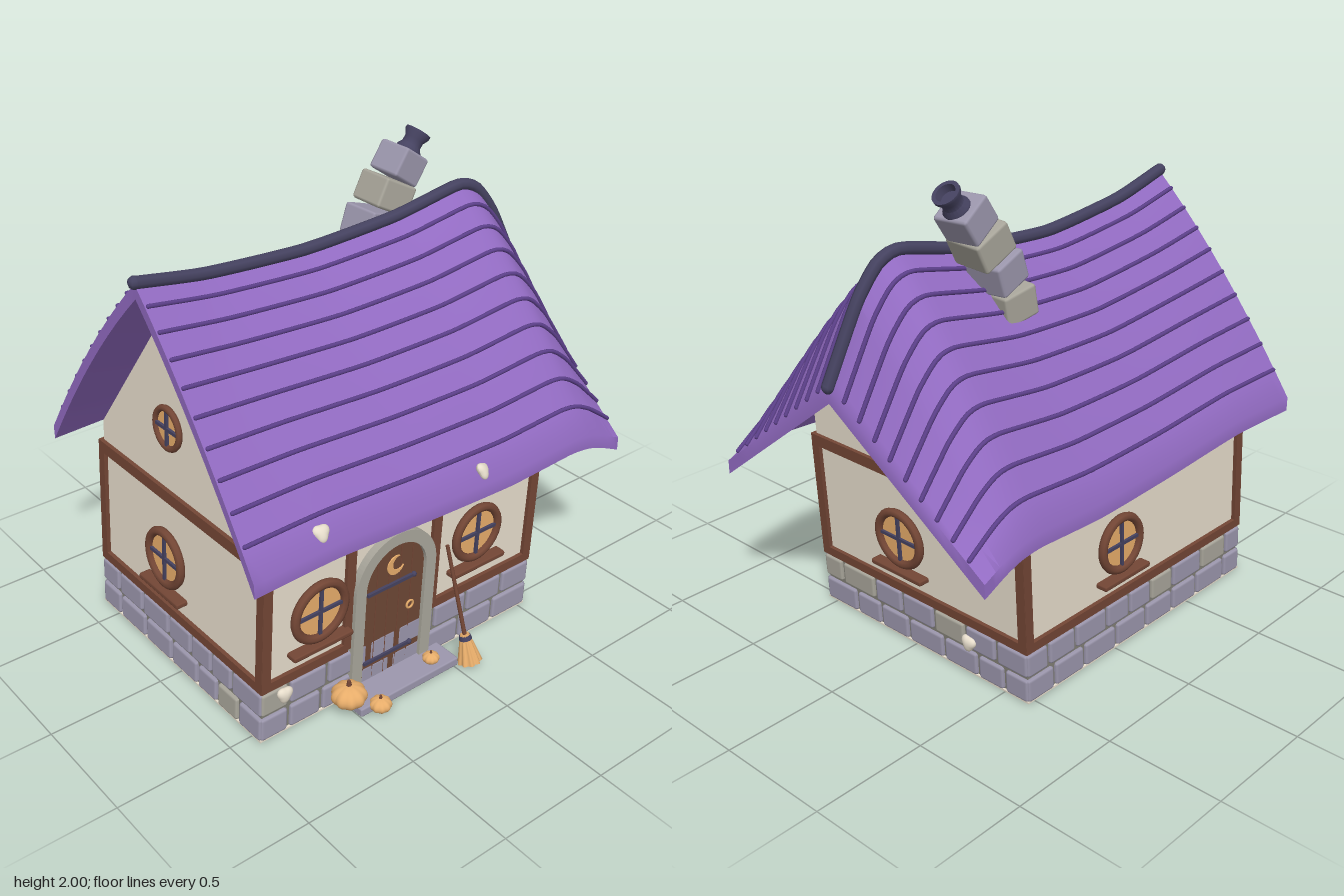
import * as THREE from 'three';
import { toCreasedNormals } from 'three/addons/utils/BufferGeometryUtils.js';
import { RoundedBoxGeometry } from 'three/addons/geometries/RoundedBoxGeometry.js';

const mat = (name, color) => Object.assign(new THREE.MeshStandardMaterial({ color }), { name });
const V = (x, y, z) => new THREE.Vector3(x, y, z);
const PI = Math.PI;

export function createModel() {
  const root = new THREE.Group();
  root.name = 'crookedCottage';
  const roofPurple = mat('roofPurple', 0x926bc2), coursePurple = mat('coursePurple', 0x5c408a);
  const slate = mat('slate', 0x454260), cream = mat('cream', 0xeee4d2);
  const timber = mat('timber', 0x734635), doorWood = mat('doorWood', 0x6d4735);
  const stoneViolet = mat('stoneViolet', 0x9c97ad), stoneGrey = mat('stoneGrey', 0xa9a69b);
  const mortar = mat('mortar', 0x817f76), amber = mat('amber', 0xe9ae6b);

  let seed = 7;
  const rand = () => (seed = (seed * 16807) % 2147483647) / 2147483647;

  const add = (name, geo, material, x = 0, y = 0, z = 0) => {
    const m = new THREE.Mesh(geo, material);
    m.name = name;
    m.position.set(x, y, z);
    root.add(m);
    return m;
  };
  const box = (w, h, d) => new THREE.BoxGeometry(w, h, d);

  // House parts lean to +x with height; each is placed on one of the four walls
  const lean = new THREE.Matrix4().set(1, 0.06, 0, -0.18, 0, 1, 0, 0, 0, 0, 1, -0.035, 0, 0, 0, 1);
  const sides = {
    front: { ry: 0, d: 0.575, h: 0.7 }, right: { ry: PI / 2, d: 0.7, h: 0.575 },
    back: { ry: PI, d: 0.575, h: 0.7 }, left: { ry: -PI / 2, d: 0.7, h: 0.575 },
  };
  const onWall = (name, geo, material, side, u, y, out = 0) => {
    const s = sides[side];
    geo.translate(u, y, s.d + out).rotateY(s.ry).applyMatrix4(lean);
    return add(name, geo, material);
  };

  // Walls, floor and stone footing
  add('walls', box(1.4, 0.7, 1.15).translate(0, 0.55, 0).applyMatrix4(lean), cream);
  add('footing', box(1.41, 0.226, 1.16).translate(0, 0.117, 0).applyMatrix4(lean), mortar);
  add('floor', box(1.43, 0.008, 1.18).translate(0, 0.004, 0).applyMatrix4(lean), cream);
  for (const side in sides) {
    const end = sides[side].h + 0.02;
    for (let row = 0; row < 2; row++) {
      let u = -end;
      while (u < end - 0.01) {
        let w = (row && u === -end ? 0.09 : 0.14) + rand() * 0.07;
        if (end - u - w < 0.07) w = end - u;
        const stone = new RoundedBoxGeometry(w - 0.014, 0.102, 0.05, 1, 0.012);
        onWall('footingStone', stone, rand() < 0.2 ? stoneGrey : stoneViolet, side, u + w / 2, 0.056 + row * 0.116, -0.005);
        u += w;
      }
    }
  }

  // Gable ends
  for (const [side, a] of [['right', 0.035], ['left', -0.035]]) {
    const g = new THREE.Shape([[-0.575, 0.8], [0.575, 0.8], [0.575, 0.9], [a, 1.63], [-0.575, 0.9]].map(p => new THREE.Vector2(...p)));
    onWall('gable', new THREE.ExtrudeGeometry(g, { depth: 0.04, bevelEnabled: false }), cream, side, 0, 0, -0.04);
  }

  // Timber frame
  for (const side in sides) {
    const h = sides[side].h;
    onWall('topBeam', box(2 * h + 0.03, 0.05, 0.035), timber, side, 0, 0.785);
    if (side !== 'front') onWall('bottomBeam', box(2 * h + 0.03, 0.04, 0.035), timber, side, 0, 0.25);
    for (const s of [-1, 1]) onWall('cornerPost', box(0.042, 0.52, 0.035), timber, side, s * (h - 0.005), 0.51);
  }
  onWall('bottomBeamA', box(0.42, 0.04, 0.035), timber, 'front', -0.505, 0.25);
  onWall('bottomBeamB', box(0.57, 0.04, 0.035), timber, 'front', 0.43, 0.25);
  for (const u of [-0.297, 0.147]) onWall('doorPost', box(0.042, 0.54, 0.035), timber, 'front', u, 0.51);

  // Round windows
  const roundWindow = (side, u, y, r, sill) => {
    const t = r * 0.14, ring = r - t;
    onWall('windowPane', new THREE.CylinderGeometry(ring, ring, 0.02, 32).rotateX(PI / 2), amber, side, u, y);
    onWall('windowFrame', new THREE.TorusGeometry(ring, t, 8, 32), timber, side, u, y, 0.012);
    onWall('windowBar', box(0.014, 2 * ring, 0.014), slate, side, u, y, 0.014);
    onWall('windowBar', box(2 * ring, 0.014, 0.014), slate, side, u, y, 0.014);
    if (sill) onWall('windowSill', new RoundedBoxGeometry(0.29, 0.024, 0.06, 1, 0.008), timber, side, u, y - 0.145, 0.02);
  };
  roundWindow('front', -0.442, 0.49, 0.139, true);
  roundWindow('front', 0.378, 0.503, 0.134, true);
  roundWindow('right', -0.095, 0.485, 0.136, true);
  roundWindow('back', -0.13, 0.485, 0.136, true);
  roundWindow('left', -0.09, 0.485, 0.136, true);
  roundWindow('right', 0.01, 1.075, 0.097, false);
  roundWindow('left', -0.06, 1.09, 0.097, false);

  // Arched door with stone surround
  const D = -0.075, r = 0.155, R = 0.207, spring = 0.49;
  const arch = new THREE.Shape();
  arch.moveTo(-R, 0).lineTo(-r, 0).lineTo(-r, spring).absarc(0, spring, r, PI, 0, true);
  arch.lineTo(r, 0).lineTo(R, 0).lineTo(R, spring).absarc(0, spring, R, 0, PI, false);
  onWall('doorSurround', new THREE.ExtrudeGeometry(arch, { depth: 0.05, bevelEnabled: false, curveSegments: 20 }), stoneGrey, 'front', D, 0, -0.015);
  const leaf = new THREE.Shape();
  leaf.moveTo(-r, 0.04).lineTo(r, 0.04).lineTo(r, spring).absarc(0, spring, r, 0, PI, false);
  onWall('door', new THREE.ExtrudeGeometry(leaf, { depth: 0.03, bevelEnabled: false, curveSegments: 20 }), doorWood, 'front', D, 0, -0.012);
  for (const u of [-0.09, -0.03, 0.03, 0.09]) {
    const top = spring + Math.sqrt(r * r - u * u) - 0.01;
    onWall('plankGroove', box(0.004, top - 0.04, 0.004), timber, 'front', D + u, (top + 0.04) / 2, 0.018);
  }
  for (const y of [0.13, 0.46]) {
    onWall('hingeStrap', box(0.24, 0.014, 0.012), slate, 'front', D - 0.02, y, 0.024);
    onWall('hingeKnob', new THREE.SphereGeometry(0.012, 10, 8), slate, 'front', D + 0.1, y, 0.024);
  }
  const moon = new THREE.Shape();
  moon.absarc(0, 0, 0.043, 0.7, 2 * PI - 0.7, false);
  moon.absarc(0.016, 0, 0.0314, 2 * PI - 1.036, 1.036, true);
  onWall('crescent', new THREE.ExtrudeGeometry(moon, { depth: 0.006, bevelEnabled: false }).rotateZ(0.4), amber, 'front', D, 0.545, 0.019);
  onWall('doorPull', new THREE.TorusGeometry(0.017, 0.005, 6, 14), amber, 'front', D + 0.09, 0.32, 0.024);
  add('doorstep', new RoundedBoxGeometry(0.52, 0.04, 0.16, 1, 0.008), stoneViolet, -0.24, 0.02, 0.61);

  // Sagging roof: a slab spanned between the ridge curve and the eaves curve
  const curve = pts => new THREE.CatmullRomCurve3(pts, false, 'catmullrom', 0.3);
  const ridge = curve([V(-0.945, 1.745, -0.05), V(-0.62, 1.685, -0.075), V(-0.15, 1.65, -0.095), V(0.3, 1.68, -0.085),
    V(0.63, 1.745, -0.065), V(0.73, 1.71, -0.055), V(0.82, 1.59, -0.045), V(0.955, 1.29, -0.02)]);
  const eave = curve([V(-0.98, 0.8, 0), V(-0.6, 0.81, 0), V(-0.15, 0.785, 0), V(0.28, 0.77, 0),
    V(0.62, 0.785, 0), V(0.73, 0.775, 0), V(0.81, 0.75, 0), V(0.92, 0.7, 0)]);
  // v runs from 1 at the front eave through 0 at the ridge to -1 at the back eave
  const roofPoint = (u, v, lift = 0) => {
    const a = ridge.getPoint(u), e = eave.getPoint(u), t = Math.abs(v);
    e.y += 0.06;
    e.z = v > 0 ? 0.68 : -0.76;
    const p = a.lerp(e, t);
    p.y += 0.2 * t * (1 - t) * Math.min(1, (1 - u) / 0.35) + lift;
    return p;
  };
  const nu = 42, nv = 20, pos = [], idx = [], ringN = 2 * (nv + 1);
  for (let i = 0; i <= nu; i++)
    for (let j = 0; j < ringN; j++) {
      const top = j <= nv, k = top ? j : ringN - 1 - j;
      pos.push(...roofPoint(i / nu, 1 - 2 * k / nv, top ? 0 : -0.06).toArray());
    }
  for (let i = 0; i < nu; i++)
    for (let j = 0; j < ringN; j++) {
      const a = i * ringN + j, b = i * ringN + (j + 1) % ringN, c = b + ringN, d = a + ringN;
      idx.push(a, d, b, d, c, b);
    }
  for (let j = 0; j < nv; j++) {
    const q = ringN - 1 - j, o = nu * ringN;
    idx.push(j, j + 1, q - 1, j, q - 1, q, o + j, o + q - 1, o + j + 1, o + j, o + q, o + q - 1);
  }
  const slab = new THREE.BufferGeometry();
  slab.setAttribute('position', new THREE.Float32BufferAttribute(pos, 3));
  slab.setIndex(idx);
  add('roof', toCreasedNormals(slab, 0.85), roofPurple);

  // Shingle courses and ridge cap
  const rail = (name, v, lift, rad, material, u0) => {
    const pts = Array.from({ length: 43 }, (_, i) => roofPoint(u0 + (1 - 2 * u0) * i / 42, v, lift));
    add(name, new THREE.TubeGeometry(new THREE.CatmullRomCurve3(pts), 64, rad, 8), material);
    for (const p of [pts[0], pts[42]]) add(name + 'End', new THREE.SphereGeometry(rad, 8, 6), material, p.x, p.y, p.z);
  };
  for (let i = 1; i < 10; i++) for (const s of [-1, 1]) rail('shingleCourse', s * i / 10, 0.009, 0.009, coursePurple, 0.008);
  rail('ridgeCap', 0, 0.005, 0.026, slate, 0);

  // Crooked chimney: x, y, z, tilt, turn, width
  [[0.21, 1.36, -0.24, 0.1, 0.08, 0.17], [0.235, 1.49, -0.235, 0.2, -0.08, 0.17], [0.28, 1.62, -0.22, 0.33, 0.1, 0.17],
    [0.35, 1.74, -0.207, 0.48, -0.06, 0.18], [0.428, 1.85, -0.208, 0.6, 0.06, 0.16]]
    .forEach(([x, y, z, tilt, turn, w], i) => {
      const block = new RoundedBoxGeometry(w - 0.01, 0.128, w, 1, 0.012).rotateY(turn);
      add('chimneyBlock', block, [0, 1, 3].includes(i) ? stoneGrey : stoneViolet, x, y, z).rotation.z = -tilt;
    });
  const potProfile = [[0, 0], [0.055, 0], [0.055, 0.03], [0.042, 0.05], [0.042, 0.075], [0.056, 0.1], [0.056, 0.112], [0.04, 0.112], [0.034, 0.08], [0, 0.08]];
  const pot = toCreasedNormals(new THREE.LatheGeometry(potProfile.map(p => new THREE.Vector2(...p)), 20), 0.6);
  add('chimneyPot', pot, slate, 0.46, 1.877, -0.207).rotation.z = -0.68;

  // Pale lumpy growths on roof and footing: position, tilt and turn
  for (const [x, y, z, tilt, turn] of [[-0.65, 0.92, 0.638, -0.6, 0], [0.15, 0.878, 0.645, -0.6, 0.5], [-0.78, 0.19, 0.565, 0, 0], [0.553, 0.155, -0.32, 0, PI / 2]]) {
    const g = new THREE.SphereGeometry(0.034, 24, 14), p = g.attributes.position;
    for (let i = 0; i < p.count; i++) {
      const k = 1 + 0.14 * Math.sin(3 * Math.atan2(p.getY(i), p.getX(i)) + 0.4);
      p.setXYZ(i, p.getX(i) * k, p.getY(i) * k, p.getZ(i) * 0.6);
    }
    g.computeVertexNormals();
    add('growth', g, cream, x, y, z).rotation.set(tilt, turn, 0);
  }

  // Pumpkins with ribbed bodies
  for (const [x, y, z, rad] of [[-0.515, 0.088, 0.63, 0.075], [-0.41, 0.031, 0.7, 0.047], [-0.09, 0.064, 0.64, 0.037]]) {
    const g = new THREE.SphereGeometry(rad, 48, 14), p = g.attributes.position;
    for (let i = 0; i < p.count; i++) {
      const k = 0.96 + 0.04 * Math.cos(9 * Math.atan2(p.getZ(i), p.getX(i)));
      p.setXYZ(i, p.getX(i) * k, p.getY(i) * 0.66, p.getZ(i) * k);
    }
    g.computeVertexNormals();
    add('pumpkin', g, amber, x, y, z);
    add('pumpkinStem', new THREE.CylinderGeometry(rad * 0.1, rad * 0.17, rad * 0.4, 6), timber, x, y + rad * 0.75, z);
  }

  // Broom leaning against the wall
  const broom = new THREE.Group();
  broom.name = 'broom';
  const bristles = new THREE.CylinderGeometry(0.018, 0.048, 0.13, 36, 3), bp = bristles.attributes.position;
  for (let i = 0; i < bp.count; i++) {
    const k = 1 + 0.12 * Math.cos(9 * Math.atan2(bp.getZ(i), bp.getX(i)));
    bp.setXYZ(i, bp.getX(i) * k, bp.getY(i), bp.getZ(i) * k);
  }
  bristles.computeVertexNormals();
  for (const [name, g, m, y] of [['bristles', bristles, amber, 0.065], ['binding', new THREE.CylinderGeometry(0.024, 0.028, 0.018, 12), slate, 0.115],
    ['handle', new THREE.CylinderGeometry(0.008, 0.009, 0.42, 8), timber, 0.33]]) {
    const part = new THREE.Mesh(g, m);
    part.name = name;
    part.position.y = y;
    broom.add(part);
  }
  broom.position.set(0.062, 0.014, 0.715);
  broom.rotation.set(-0.25, 0, 0.05);
  root.add(broom);

  return root;
}
